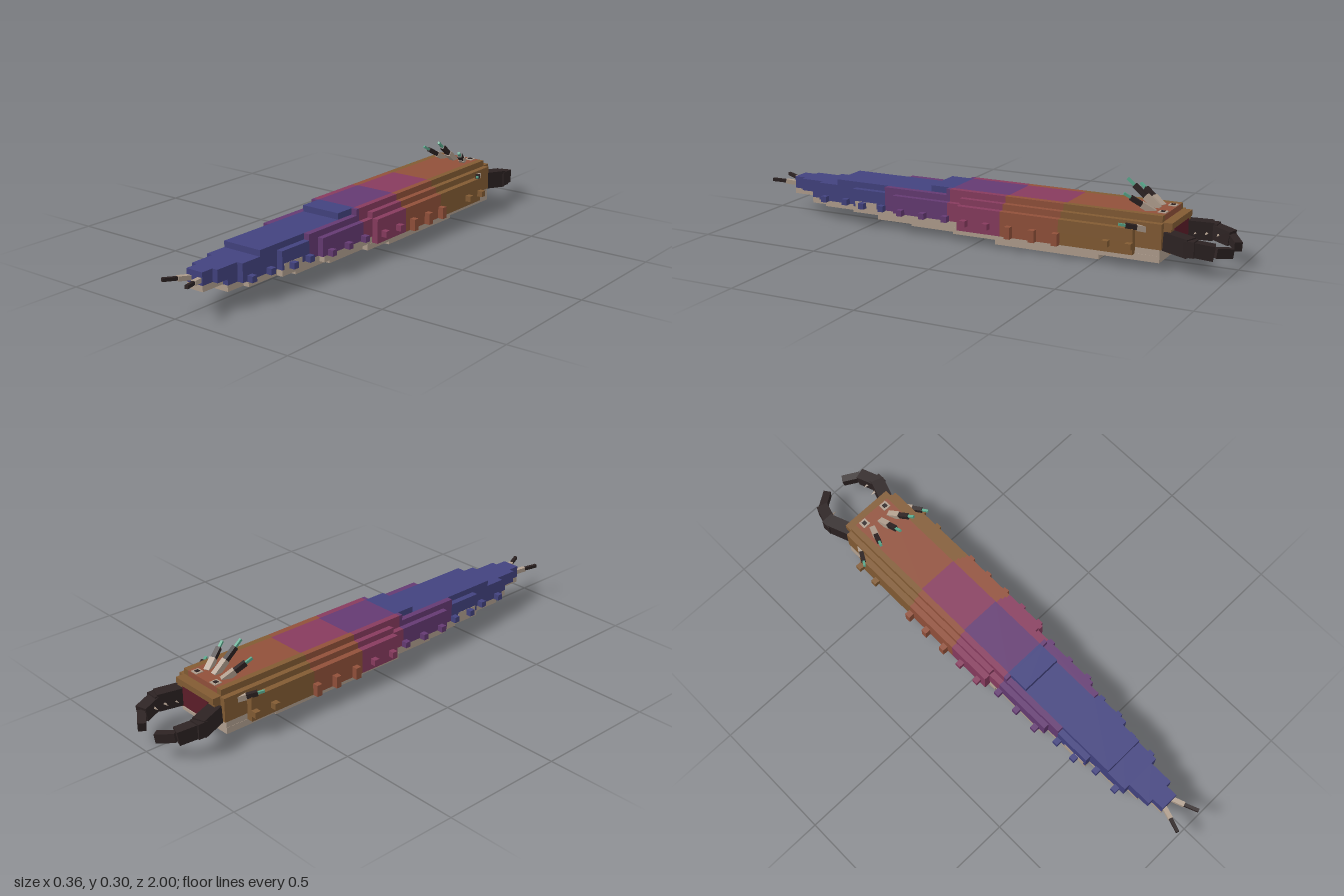
import * as THREE from 'three';

const material = (name, color) => {
  const m = new THREE.MeshStandardMaterial({ color });
  m.name = name;
  return m;
};

export function createModel() {
  const blue = material('blue', 0x42427f);
  const purple = material('purple', 0x643a72);
  const pink = material('pink', 0x873b5e);
  const rust = material('rust', 0x91503a);
  const brown = material('brown', 0x825b33);
  const beige = material('beige', 0xb09e8e);
  const dark = material('dark', 0x2c2222);
  const green = material('green', 0x5aa88c);
  const red = material('mouth red', 0x5c1c28);

  const model = new THREE.Group();
  model.name = 'crawler';

  // axis-aligned box from its limits
  function box(parent, name, mat, x0, x1, y0, y1, z0, z1) {
    const mesh = new THREE.Mesh(new THREE.BoxGeometry(x1 - x0, y1 - y0, z1 - z0), mat);
    mesh.position.set((x0 + x1) / 2, (y0 + y1) / 2, (z0 + z1) / 2);
    mesh.name = name;
    parent.add(mesh);
  }

  // square bar running from point a to point b
  function bar(parent, name, mat, a, b, w, h = w) {
    const from = new THREE.Vector3(...a), to = new THREE.Vector3(...b);
    const mesh = new THREE.Mesh(new THREE.BoxGeometry(w, h, from.distanceTo(to)), mat);
    mesh.position.copy(from).lerp(to, 0.5);
    mesh.lookAt(to);
    mesh.name = name;
    parent.add(mesh);
  }

  // colour bands along the body: [end z, material]
  const coreBands = [[-0.36, rust], [-0.12, pink], [0.125, purple], [1, blue]];
  const sideBands = [[-0.355, brown], [-0.115, rust], [0.125, pink], [0.42, purple], [1, blue]];

  function banded(parent, name, bands, x0, x1, y0, y1, z0, z1) {
    let start = z0;
    for (const [end, mat] of bands) {
      const stop = Math.min(end, z1);
      if (stop - start < 0.001) continue;
      box(parent, name, mat, x0, x1, y0, y1, start, stop);
      start = stop;
    }
  }

  // stepped shell layers: y range, then [z0, z1, half width]
  const outline = [[-0.77, -0.75, 0.11], [-0.75, -0.65, 0.133], [-0.65, 0.07, 0.158], [0.07, 0.37, 0.133],
    [0.37, 0.57, 0.11], [0.57, 0.75, 0.085], [0.75, 0.85, 0.06], [0.85, 0.9, 0.037]];
  const layers = [
    [0.05, 0.075, [[-0.65, 0.07, 0.158]]],
    [0.075, 0.098, outline.slice(0, 6).concat([[0.75, 0.8, 0.06]])],
    [0.098, 0.147, outline],
    [0.147, 0.171, [[-0.77, -0.75, 0.11], [-0.75, 0.07, 0.133], [0.07, 0.42, 0.11], [0.42, 0.66, 0.085]]],
    [0.171, 0.196, [[-0.745, 0.14, 0.11], [0.14, 0.22, 0.085]]],
  ];
  const shell = new THREE.Group();
  shell.name = 'shell';
  model.add(shell);
  for (const [y0, y1, steps] of layers) {
    for (const [z0, z1, hw] of steps) {
      const core = Math.min(hw, 0.085);
      banded(shell, 'back', coreBands, -core, core, y0, y1, z0, z1);
      if (hw > core) {
        banded(shell, 'leftFlank', sideBands, core, hw, y0, y1, z0, z1);
        banded(shell, 'rightFlank', sideBands, -hw, -core, y0, y1, z0, z1);
      }
    }
  }

  // stepped belly: [y0, y1, z0, z1, half width]
  for (const [y0, y1, z0, z1, hw] of [
    [0, 0.026, -0.5, -0.07, 0.108],
    [0.026, 0.051, -0.745, 0.1, 0.133], [0.026, 0.051, 0.1, 0.3, 0.108], [0.026, 0.051, 0.3, 0.47, 0.085],
    [0.051, 0.075, -0.745, 0.36, 0.132], [0.051, 0.075, 0.36, 0.57, 0.109],
    [0.051, 0.075, 0.57, 0.72, 0.084], [0.051, 0.075, 0.72, 0.8, 0.059],
    [0.075, 0.098, 0.8, 0.9, 0.037], [0.075, 0.098, 0.46, 0.56, 0.111],
  ]) box(model, 'belly', beige, -hw, hw, y0, y1, z0, z1);

  // stubby feet along both flanks
  for (const z of [-0.64, -0.55, -0.35, -0.255, -0.155, -0.06, 0.035, 0.13, 0.23, 0.33, 0.43, 0.52, 0.615, 0.715]) {
    const hw = outline.find(([z0, z1]) => z >= z0 && z < z1)[2];
    const mat = sideBands.find(([end]) => z < end)[1];
    const low = mat === rust ? 0.05 : 0.073;
    for (const s of [-1, 1]) {
      const x = s * (hw + 0.011);
      box(model, 'foot', mat, x - 0.013, x + 0.013, low, 0.097, z - 0.012, z + 0.012);
    }
  }

  // face: brown brow, dark red mouth and lower lip
  box(model, 'face', brown, -0.11, 0.11, 0.06, 0.172, -0.777, -0.769);
  box(model, 'brow', brown, -0.11, 0.11, 0.15, 0.173, -0.782, -0.745);
  box(model, 'mouth', red, -0.075, 0.075, 0.066, 0.15, -0.781, -0.776);
  box(model, 'lip', beige, -0.075, 0.075, 0.056, 0.068, -0.785, -0.745);

  // spine with a pale base, dark shaft and green tip
  function spine(name, a, b, w) {
    const group = new THREE.Group();
    group.name = name;
    model.add(group);
    const at = t => a.map((v, i) => v + (b[i] - v) * t);
    bar(group, 'spineBase', beige, at(0), at(0.42), w);
    bar(group, 'spineShaft', dark, at(0.36), at(0.78), w * 0.8);
    bar(group, 'spineTip', green, at(0.76), at(1), w * 0.42);
  }
  spine('middleSpine', [0, 0.19, -0.69], [0, 0.293, -0.565], 0.023);

  for (const s of [-1, 1]) {
    spine('upperSpine', [s * 0.045, 0.188, -0.69], [s * 0.088, 0.258, -0.585], 0.023);
    spine('sideSpine', [s * 0.115, 0.142, -0.7], [s * 0.173, 0.164, -0.6], 0.022);

    // eyes
    box(model, 'eye', beige, s * 0.055 - 0.016, s * 0.055 + 0.016, 0.194, 0.199, -0.742, -0.71);
    box(model, 'pupil', dark, s * 0.055 - 0.008, s * 0.055 + 0.008, 0.198, 0.201, -0.734, -0.718);

    // hooked jaw
    const jaw = new THREE.Group();
    jaw.name = s > 0 ? 'leftJaw' : 'rightJaw';
    model.add(jaw);
    const path = [[0.095, 0.105, -0.76], [0.13, 0.098, -0.86], [0.105, 0.085, -0.94], [0.043, 0.073, -0.983]];
    const sizes = [[0.052, 0.07], [0.046, 0.055], [0.03, 0.036]];
    sizes.forEach(([w, h], i) => bar(jaw, 'jawSegment', dark,
      [s * path[i][0], path[i][1], path[i][2]], [s * path[i + 1][0], path[i + 1][1], path[i + 1][2]], w, h));
    const joint = path[1];
    bar(jaw, 'jawJoint', dark, [s * joint[0], joint[1], joint[2] + 0.02], [s * joint[0], joint[1], joint[2] - 0.02], 0.05, 0.06);

    // teeth on the inner edge of the jaw
    for (const [x, z] of [[0.09, -0.805], [0.1, -0.845], [0.1, -0.89]]) {
      const tooth = new THREE.Mesh(new THREE.ConeGeometry(0.01, 0.04, 4), beige);
      tooth.position.set(s * (x - 0.005), 0.092, z);
      tooth.rotation.z = s * Math.PI / 2;
      tooth.name = 'tooth';
      jaw.add(tooth);
    }

    // tail prongs
    bar(model, 'prongBase', beige, [s * 0.018, 0.115, 0.885], [s * 0.038, 0.122, 0.945], 0.018);
    bar(model, 'prongTip', dark, [s * 0.036, 0.122, 0.94], [s * 0.058, 0.128, 0.998], 0.013);
  }

  return model;
}
